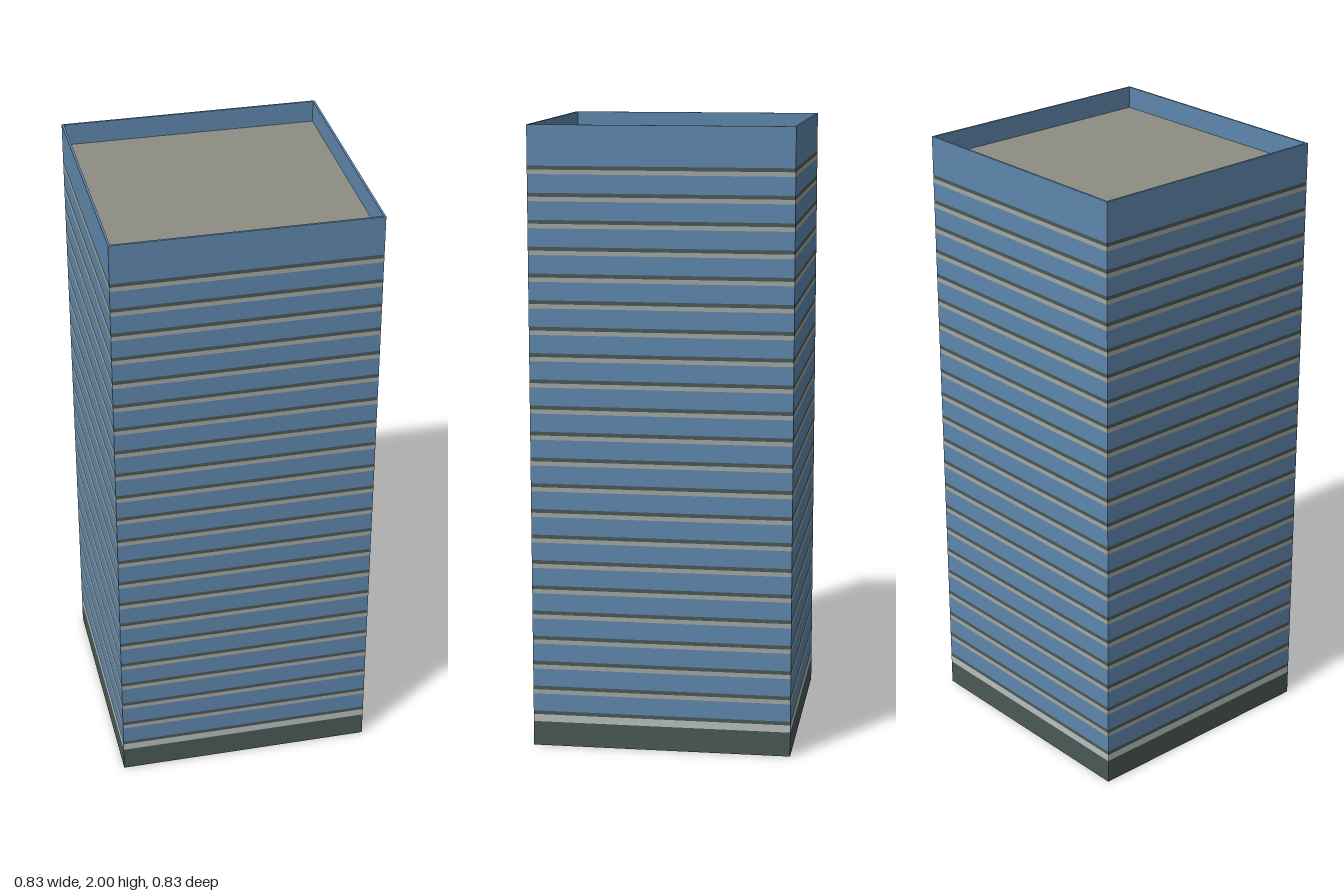
import * as THREE from 'three';

const HALF = 0.417;   // half width of the tower
const WALL = 0.007;   // thickness of the facade shell
const FLOORS = 22;
const PITCH = 0.0837; // height of one floor
const FIRST = 0.104;  // underside of the lowest dark joint
const JOINT = 0.012, SILL = 0.014;

const mat = (name, color) => {
  const m = new THREE.MeshStandardMaterial({ color });
  m.name = name;
  return m;
};

// Square hollow band of the facade between two heights
function band(name, y0, y1, material) {
  const square = (Type, h) => new Type([
    new THREE.Vector2(-h, -h), new THREE.Vector2(h, -h),
    new THREE.Vector2(h, h), new THREE.Vector2(-h, h),
  ]);
  const shape = square(THREE.Shape, HALF);
  shape.holes.push(square(THREE.Path, HALF - WALL));
  const geo = new THREE.ExtrudeGeometry(shape, { depth: y1 - y0, bevelEnabled: false });
  geo.rotateX(-Math.PI / 2);
  const mesh = new THREE.Mesh(geo, material);
  mesh.name = name;
  mesh.position.y = y0;
  return mesh;
}

export function createModel() {
  const glass = mat('blue glass', 0x5f87ad);
  const dark = mat('dark slate', 0x4a5957);
  const sill = mat('grey sill', 0xa3a8a3);
  const trim = mat('pale trim', 0xb8bfbd);
  const roofing = mat('roof grey', 0x8d8d84);

  const tower = new THREE.Group();
  tower.name = 'officeTower';

  // Open-bottomed base and its pale trim
  tower.add(band('base', 0, 0.08, dark));
  tower.add(band('baseTrim', 0.08, FIRST, trim));

  // Repeating floors: dark joint, glazing, and the sill under the next joint
  for (let i = 0; i < FLOORS; i++) {
    const y = FIRST + i * PITCH;
    tower.add(band('joint', y, y + JOINT, dark));
    if (i < FLOORS - 1) {
      tower.add(band('glazing', y + JOINT, y + PITCH - SILL, glass));
      tower.add(band('sill', y + PITCH - SILL, y + PITCH, sill));
    } else {
      tower.add(band('parapet', y + JOINT, 2, glass));
    }
  }

  // Flat roof set down inside the parapet
  const side = 2 * (HALF - WALL);
  const roof = new THREE.Mesh(new THREE.BoxGeometry(side, 0.008, side), roofing);
  roof.name = 'roof';
  roof.position.y = 1.926;
  tower.add(roof);

  return tower;
}
